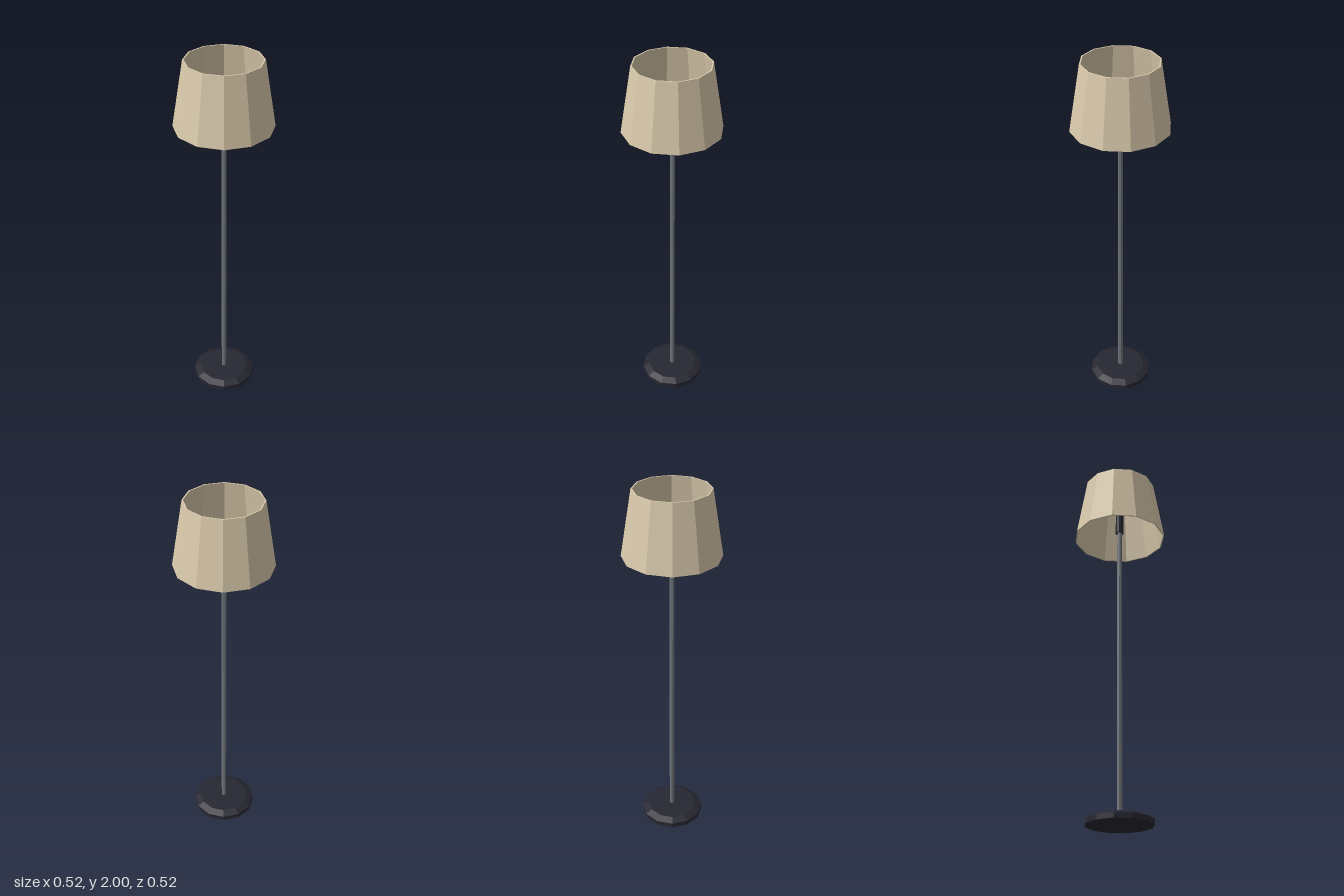
import * as THREE from 'three';

const SIDES = 12;

function material(name, color) {
  const m = new THREE.MeshStandardMaterial({ color, flatShading: true });
  m.name = name;
  return m;
}

// Faceted solid of revolution from [radius, height] pairs, listed upwards on the outside
function turned(name, profile, sides, mat) {
  const points = profile.map(([r, y]) => new THREE.Vector2(r, y));
  const mesh = new THREE.Mesh(new THREE.LatheGeometry(points, sides), mat);
  mesh.name = name;
  return mesh;
}

export function createModel() {
  const dark = material('dark metal', 0x272732);
  const steel = material('grey steel', 0x70757b);
  const fabric = material('cream fabric', 0xdacaac);

  const lamp = new THREE.Group();
  lamp.name = 'floorLamp';

  // Weighted foot with a bevelled upper edge
  lamp.add(turned('base', [[0, 0], [0.176, 0], [0.176, 0.027], [0.14, 0.046], [0, 0.046]], SIDES, dark));

  // Thin upright
  lamp.add(turned('pole', [[0, 0.04], [0.014, 0.04], [0.014, 1.7], [0, 1.7]], 8, steel));

  // Bulb holder on top of the pole
  lamp.add(turned('socket', [[0, 1.69], [0.023, 1.69], [0.023, 1.81], [0, 1.81]], SIDES, dark));

  // Open tapered shade with wall thickness: outside, top rim, inside, bottom rim
  lamp.add(turned('shade', [[0.258, 1.65], [0.2, 2], [0.193, 2], [0.251, 1.65], [0.258, 1.65]], SIDES, fabric));

  return lamp;
}
